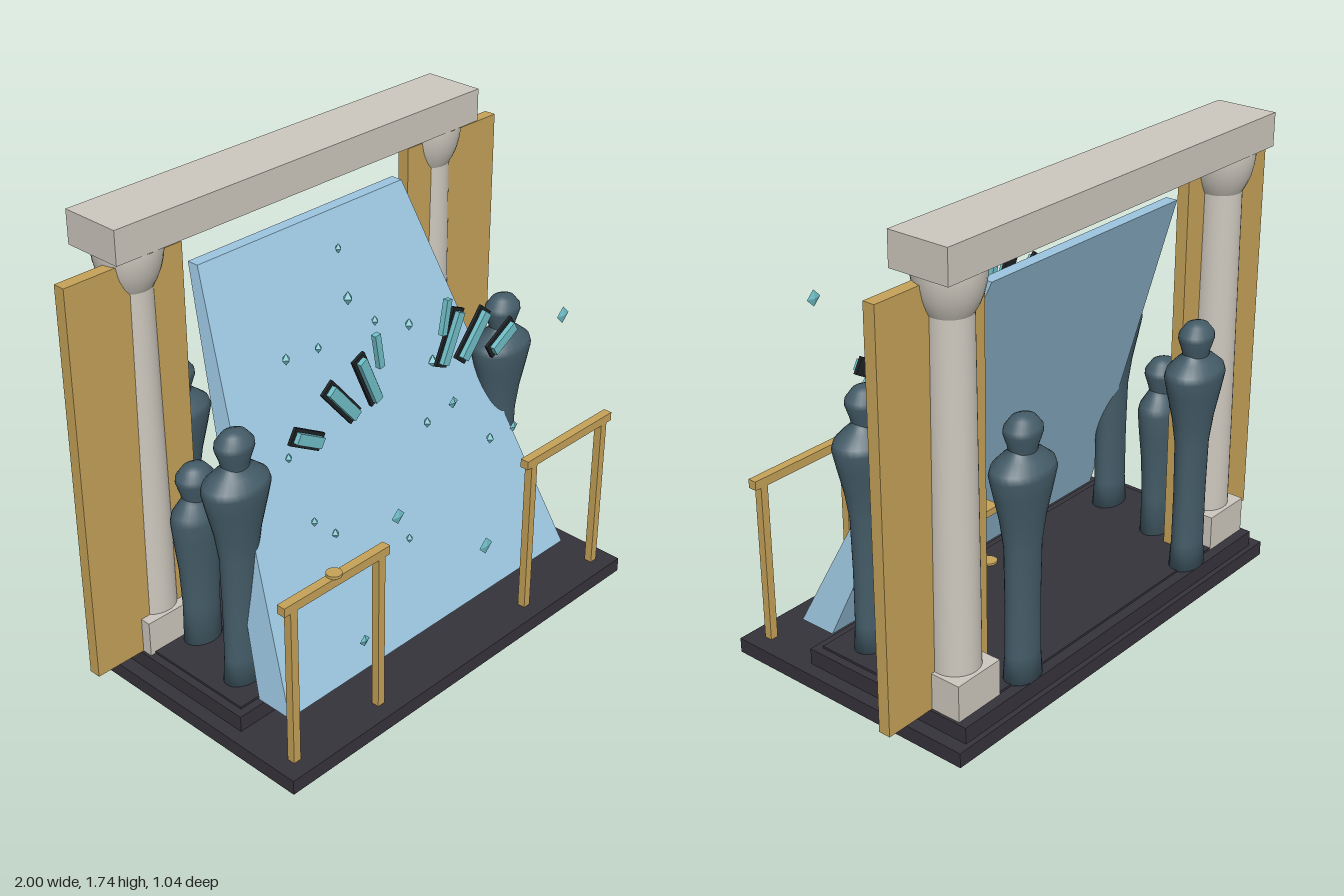
import * as THREE from 'three';

const mat = (name, color, side = THREE.FrontSide) => {
  const m = new THREE.MeshStandardMaterial({ color, side });
  m.name = name;
  return m;
};

export function createModel() {
  const model = new THREE.Group();
  model.name = 'memorialStage';

  const dark = mat('darkBase', 0x36333b);
  const stone = mat('paleStone', 0xcdc8be);
  const gold = mat('gold', 0xc5a258);
  const glass = mat('paleBlue', 0x9cc6e0);
  const slate = mat('slateFigure', 0x445c68);
  const teal = mat('tealCrystal', 0x70bfc8);
  const black = mat('blackFrame', 0x1d2226);

  const add = (name, geo, material, x = 0, y = 0, z = 0, parent = model) => {
    const m = new THREE.Mesh(geo, material);
    m.name = name;
    m.position.set(x, y, z);
    parent.add(m);
    return m;
  };
  // Box given by its lower and upper limits
  const box = (name, material, x0, x1, y0, y1, z0, z1) =>
    add(name, new THREE.BoxGeometry(x1 - x0, y1 - y0, z1 - z0), material,
      (x0 + x1) / 2, (y0 + y1) / 2, (z0 + z1) / 2);
  const lathe = (pts, seg = 32) =>
    new THREE.LatheGeometry(pts.map(p => new THREE.Vector2(...p)), seg);

  // Stepped platform
  box('base', dark, -0.86, 0.86, 0, 0.055, -0.5, 0.52);
  box('step', dark, -0.81, 0.81, 0.055, 0.115, -0.48, 0.22);
  box('stageFloor', dark, -0.78, 0.78, 0.115, 0.123, -0.44, 0.19);
  add('floorDisc', new THREE.CylinderGeometry(0.03, 0.03, 0.008, 20), gold, 0, 0.127, 0.12);

  // Lintel, columns and side panels
  box('lintel', stone, -0.835, 0.835, 1.62, 1.74, -0.46, -0.228);
  const shaft = lathe([[0.086, 0.25], [0.084, 0.6], [0.08, 1.0], [0.076, 1.48]]);
  const capital = lathe([[0.076, 1.475], [0.09, 1.5], [0.104, 1.535], [0.112, 1.57], [0.116, 1.6], [0.116, 1.62]]);
  for (const s of [-1, 1]) {
    box('columnPlinth', stone, s * 0.7 - 0.1, s * 0.7 + 0.1, 0.115, 0.25, -0.443, -0.243);
    add('columnShaft', shaft, stone, s * 0.7, 0, -0.342);
    add('columnCapital', capital, stone, s * 0.7, 0, -0.342);
    box('sidePanel', gold, s * 0.763 - 0.235, s * 0.763 + 0.235, 0.115, 1.585, -0.328, -0.283);
  }

  // Leaning slab, narrowing in width and depth towards the top
  const slab = new THREE.BoxGeometry(1, 1, 1);
  const p = slab.attributes.position;
  for (let i = 0; i < p.count; i++) {
    const top = p.getY(i) > 0, front = p.getZ(i) > 0;
    p.setXYZ(i, Math.sign(p.getX(i)) * (top ? 0.48 : 0.715), top ? 1.488 : 0.13,
      top ? (front ? -0.27 : -0.315) : (front ? 0.355 : 0.21));
  }
  slab.computeVertexNormals();
  add('leaningSlab', slab, glass);

  // Figures: a body and a head, both flattened front to back
  const bodyGeo = lathe([[0, 0], [0.078, 0], [0.071, 0.1], [0.07, 0.3], [0.074, 0.5], [0.09, 0.6],
    [0.115, 0.7], [0.13, 0.765], [0.122, 0.79], [0.085, 0.82], [0.056, 0.84], [0.052, 0.86]], 28);
  const headGeo = lathe([[0.05, 0], [0.056, 0.03], [0.072, 0.075], [0.07, 0.095], [0.045, 0.125],
    [0.02, 0.134], [0, 0.135]], 28);
  const smallBodyGeo = lathe([[0, 0], [0.076, 0], [0.073, 0.15], [0.08, 0.3], [0.094, 0.42],
    [0.102, 0.5], [0.094, 0.53], [0.062, 0.57], [0.052, 0.59]], 28);
  const figure = (name, x, z, body, neck, y = 0.122) => {
    const g = new THREE.Group();
    g.name = name;
    g.position.set(x, y, z);
    add('body', body, slate, 0, 0, 0, g).scale.z = 0.72;
    add('head', headGeo, slate, 0, neck, 0, g).scale.z = 0.82;
    model.add(g);
  };
  for (const s of [-1, 1]) {
    figure('frontFigure', s * 0.655, 0.07, bodyGeo, 0.835);
    figure('backFigure', s * 0.467, -0.428, bodyGeo, 0.825, 0.118);
    figure('smallFigure', s * 0.6, -0.197, smallBodyGeo, 0.57);
  }

  // Lectern
  box('lecternPost', gold, 0.415, 0.535, 0.12, 0.55, -0.15, 0.015);
  box('lecternTop', gold, 0.265, 0.685, 0.55, 0.575, -0.157, 0.02);
  add('lecternDisc', new THREE.CylinderGeometry(0.028, 0.028, 0.01, 20), gold, 0.477, 0.58, -0.03);

  // Front railings
  for (const s of [-1, 1]) {
    box('railBar', gold, s * 0.587 - 0.237, s * 0.587 + 0.237, 0.655, 0.688, 0.427, 0.46);
    for (const x of [0.387, 0.783])
      box('railPost', gold, s * x - 0.015, s * x + 0.015, 0.055, 0.655, 0.43, 0.46);
  }
  add('railDisc', new THREE.CylinderGeometry(0.027, 0.027, 0.01, 20), gold, -0.59, 0.693, 0.443);

  // Fan of floating plates: x, y, length, width, tilt in degrees, framed
  const plates = [
    [0.476, 1.04, 0.135, 0.05, 30, true],
    [0.32, 1.11, 0.19, 0.05, 50, true],
    [0.2, 1.145, 0.2, 0.045, 66, true],
    [0.162, 1.24, 0.14, 0.036, 80, false],
  ];
  for (const s of [-1, 1]) for (const [x, y, l, w, a, framed] of plates) {
    const g = new THREE.Group();
    g.name = 'fanPlate';
    g.position.set(s * x, y, 0.222);
    g.rotation.z = s * a * Math.PI / 180;
    add('plate', new THREE.BoxGeometry(l - 0.012, w - 0.012, 0.02), teal, 0, 0, 0.004, g);
    if (framed) add('plateFrame', new THREE.BoxGeometry(l + 0.012, w + 0.012, 0.012), black, 0, 0, -0.01, g);
    model.add(g);
  }

  // Floating crystals: x, y, z, radius
  const crystal = new THREE.OctahedronGeometry(1);
  const gems = [
    [0.09, 1.377, -0.2, 0.014], [0.013, 1.257, -0.08, 0.02], [-0.28, 1.138, -0.08, 0.017],
    [0.26, 1.085, -0.025, 0.018], [-0.174, 0.966, 0.05, 0.016], [0.36, 0.907, 0, 0.02],
    [-0.383, 0.848, 0.03, 0.014], [0.18, 0.79, 0.14, 0.016], [0.473, 0.617, 0.185, 0.017],
    [-0.295, 0.564, 0.157, 0.015], [-0.072, 0.5, 0.293, 0.014], [-0.41, 0.676, 0.175, 0.014],
    [-0.14, 1.13, -0.07, 0.015], [0.135, 1.13, -0.07, 0.015],
  ];
  for (const [x, y, z, r] of gems)
    add('crystal', crystal, teal, x, y, z).scale.set(r, r * 1.35, r);
  // Flat crystals near the front edge
  const flatGems = [
    [0.473, 1.222, 0.476, 0.031], [-0.1, 1.13, 0.495, 0.022], [0.285, 0.853, 0.438, 0.021],
    [-0.29, 0.762, 0.438, 0.03], [0.093, 0.484, 0.495, 0.033], [-0.484, 0.388, 0.475, 0.023],
  ];
  for (const [x, y, z, r] of flatGems)
    add('flatCrystal', crystal, teal, x, y, z).scale.set(r, r, 0.008);

  return model;
}
